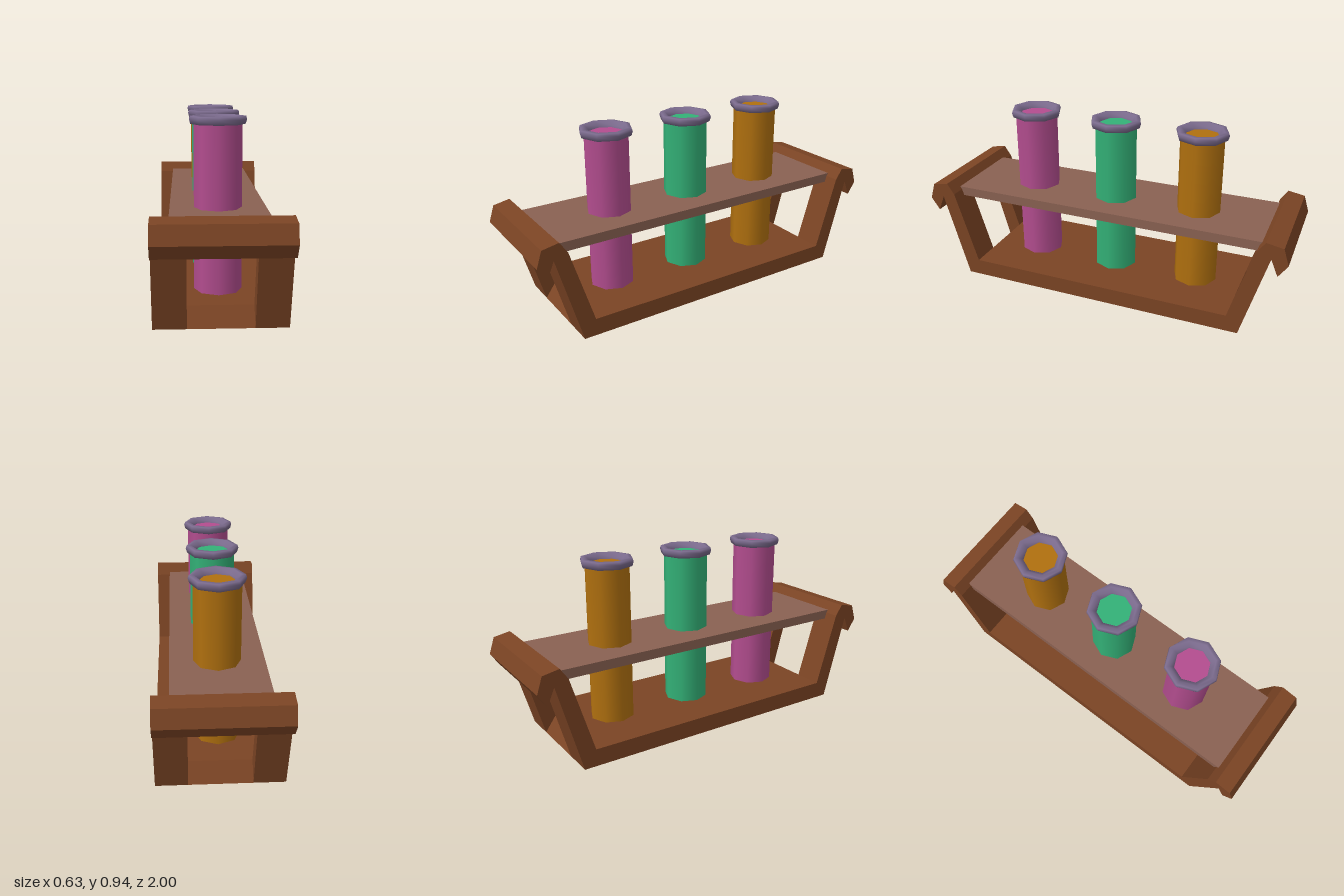
import * as THREE from 'three';

const material = (name, color, extra = {}) => {
  const m = new THREE.MeshStandardMaterial({ color, ...extra });
  m.name = name;
  return m;
};

// Extrude a [z, y] profile along x, centred on x
function prism(name, profile, width, x, mat) {
  const shape = new THREE.Shape(profile.map(([z, y]) => new THREE.Vector2(z, y)));
  const geo = new THREE.ExtrudeGeometry(shape, { depth: width, bevelEnabled: false });
  geo.translate(0, 0, -width / 2);
  geo.rotateY(-Math.PI / 2); // profile x -> z
  const mesh = new THREE.Mesh(geo, mat);
  mesh.name = name;
  mesh.position.x = x;
  return mesh;
}

export function createModel() {
  const model = new THREE.Group();
  model.name = 'testTubeRack';

  const wood = material('wood', 0x7b4424);
  const shelfWood = material('paleWood', 0x8a6152);
  const rimGlass = material('rimLilac', 0x7a6a8c);
  const liquids = [
    ['pinkTube', material('pink', 0xb34d8f), 0.47],
    ['greenTube', material('green', 0x33b177), 0],
    ['amberTube', material('amber', 0xb0700f), -0.47],
  ];

  // Base board with bevelled ends
  model.add(prism('base', [[-0.788, 0], [0.788, 0], [0.724, 0.09], [-0.724, 0.09]], 0.626, 0, wood));

  // Sloping legs and hooked handle bar at each end
  const legProfile = [[0.788, 0], [0.917, 0.46], [0.845, 0.485], [0.724, 0.09]];
  const handleProfile = [[0.917, 0.46], [0.954, 0.373], [1, 0.44], [0.972, 0.527], [0.885, 0.543], [0.845, 0.485]];
  for (const end of ['front', 'back']) {
    const frame = new THREE.Group();
    frame.name = end + 'End';
    for (const side of [-1, 1]) {
      frame.add(prism(side > 0 ? 'leftLeg' : 'rightLeg', legProfile, 0.157, side * 0.2345, wood));
    }
    frame.add(prism('handle', handleProfile, 0.626, 0, wood));
    if (end === 'back') frame.rotation.y = Math.PI;
    model.add(frame);
  }

  // Shelf that holds the tubes upright
  model.add(prism('shelf', [[-0.838, 0.45], [0.838, 0.45], [0.857, 0.5], [-0.857, 0.5]], 0.47, 0, shelfWood));

  // Eight-sided tubes with flared rims
  const tubeGeo = new THREE.CylinderGeometry(0.117, 0.117, 0.825, 8);
  const rimGeo = new THREE.LatheGeometry(
    [[0.1, 0.9], [0.132, 0.902], [0.139, 0.925], [0.134, 0.94], [0.113, 0.942], [0.09, 0.922], [0.087, 0.905]]
      .map(([r, y]) => new THREE.Vector2(r, y)), 8);
  for (const [name, mat, z] of liquids) {
    const group = new THREE.Group();
    group.name = name;
    const tube = new THREE.Mesh(tubeGeo, mat);
    tube.name = 'tube';
    tube.position.y = 0.5;
    const rim = new THREE.Mesh(rimGeo, rimGlass);
    rim.name = 'rim';
    group.add(tube, rim);
    group.position.z = z;
    model.add(group);
  }
  return model;
}
